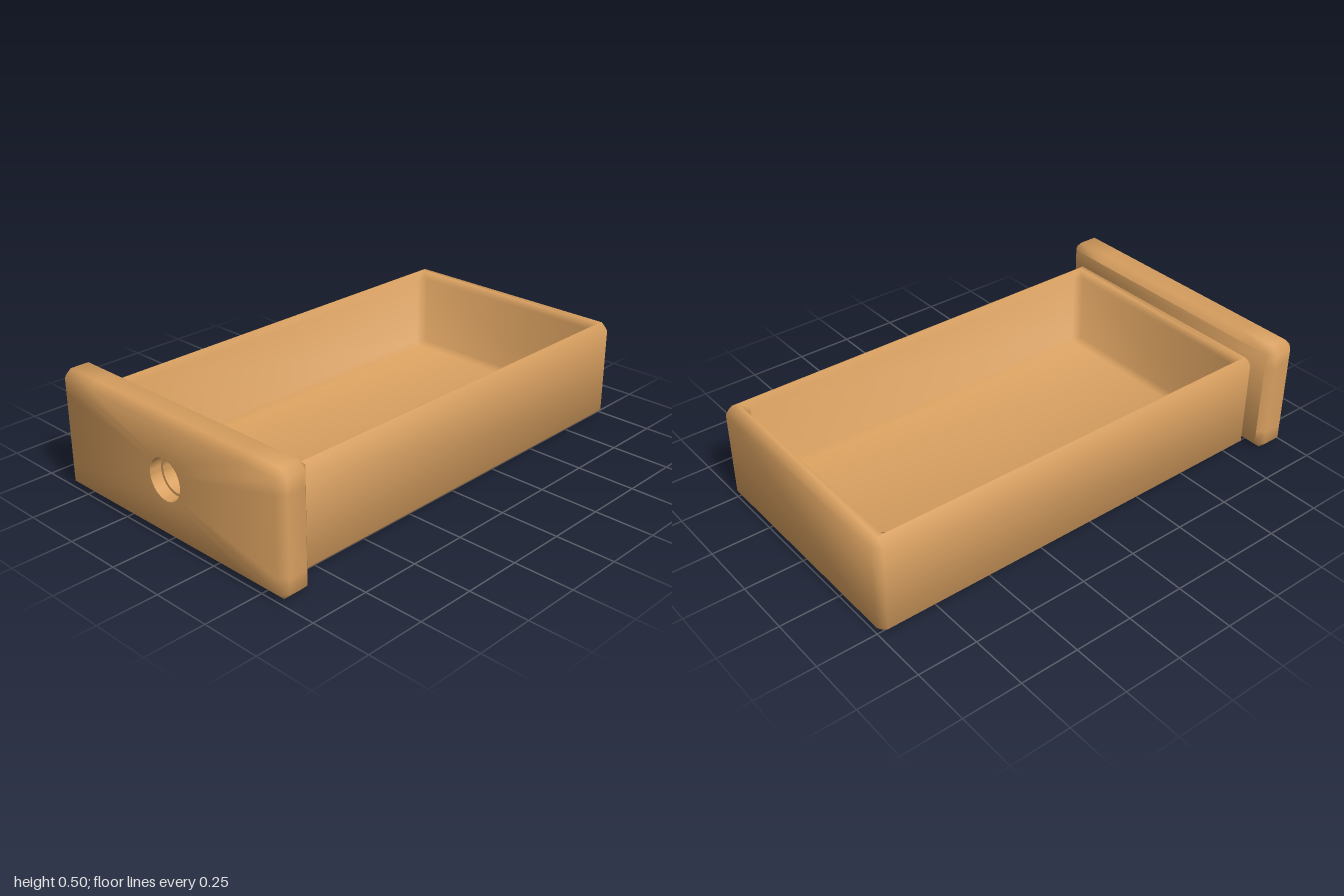
import * as THREE from 'three';
import { mergeVertices, toCreasedNormals } from 'three/addons/utils/BufferGeometryUtils.js';

// Rectangle outline with corners cut by c, at height y; k segments per side
function rectLoop(hx, hz, c, y, k = 1) {
  const pts = [];
  for (let s = 0; s < 4; s++) {
    for (let j = 0; j <= k; j++) {
      const t = (2 * j) / k - 1;
      const sign = s < 2 ? 1 : -1;
      if (s % 2 === 0) pts.push([sign * hx, y, sign * t * (hz - c)]);
      else pts.push([-sign * t * (hx - c), y, sign * hz]);
    }
  }
  return pts;
}

// Circle with the same point count and start direction as rectLoop
function circleLoop(r, y, k) {
  const n = 4 * (k + 1);
  return Array.from({ length: n }, (_, i) => {
    const a = ((i + 0.5) / n) * Math.PI * 2 - Math.PI / 4;
    return [r * Math.cos(a), y, r * Math.sin(a)];
  });
}

// Joins a series of loops into a skin, with optional flat caps
function skin(loops, capFirst, capLast) {
  const n = loops[0].length, index = [];
  for (let l = 0; l < loops.length - 1; l++) {
    for (let i = 0; i < n; i++) {
      const a = l * n + i, b = l * n + ((i + 1) % n);
      index.push(a, a + n, b + n, a, b + n, b);
    }
  }
  const last = (loops.length - 1) * n;
  for (let i = 1; i < n - 1; i++) {
    if (capFirst) index.push(0, i, i + 1);
    if (capLast) index.push(last, last + i + 1, last + i);
  }
  const geo = new THREE.BufferGeometry();
  geo.setAttribute('position', new THREE.Float32BufferAttribute(loops.flat(2), 3));
  geo.setIndex(index);
  return mergeVertices(geo, 1e-4);
}

// Smooth normals weighted by corner angle, for soft shading over the bevels
function softNormals(geo) {
  const pos = geo.attributes.position, idx = geo.index.array;
  const sums = Array.from({ length: pos.count }, () => new THREE.Vector3());
  const e1 = new THREE.Vector3(), e2 = new THREE.Vector3(), nrm = new THREE.Vector3();
  for (let t = 0; t < idx.length; t += 3) {
    const v = [0, 1, 2].map((j) => new THREE.Vector3().fromBufferAttribute(pos, idx[t + j]));
    nrm.crossVectors(e1.subVectors(v[1], v[0]), e2.subVectors(v[2], v[0]));
    if (nrm.length() < 1e-9) continue;
    nrm.normalize();
    for (let j = 0; j < 3; j++) {
      e1.subVectors(v[(j + 1) % 3], v[j]);
      e2.subVectors(v[(j + 2) % 3], v[j]);
      sums[idx[t + j]].addScaledVector(nrm, e1.angleTo(e2));
    }
  }
  const normals = sums.flatMap((s) => s.normalize().toArray());
  geo.setAttribute('normal', new THREE.Float32BufferAttribute(normals, 3));
  return geo;
}

export function createModel() {
  const model = new THREE.Group();
  model.name = 'drawer';
  const wood = new THREE.MeshStandardMaterial({ color: 0xd9a060 });
  const c = 0.03; // bevel

  // Open tray: up the outside, over the rim, down to the floor
  const hx = 0.93, hz = 0.53, top = 0.43, floor = 0.07;
  const ix = 0.86, iz = 0.48, ic = 0.015;
  const tray = new THREE.Mesh(softNormals(skin([
    rectLoop(hx - c, hz - c, 0, 0),
    rectLoop(hx, hz, c, c),
    rectLoop(hx, hz, c, top - c),
    rectLoop(hx - c, hz - c, 0, top),
    rectLoop(ix + ic, iz + ic, 0, top),
    rectLoop(ix, iz, c, top - c),
    rectLoop(ix, iz, c, floor + 0.02),
    rectLoop(ix - c, iz - c, 0, floor),
  ], true, true)), wood);
  tray.name = 'tray';
  tray.position.x = 0.07;
  model.add(tray);

  // Face panel, built lying down and turned so its outer side faces -x
  const face = new THREE.Group();
  face.name = 'facePanel';
  face.rotation.z = Math.PI / 2;
  face.position.set(-0.86, 0.25, 0);
  model.add(face);

  const py = 0.25, pz = 0.61, depth = 0.14, k = 7, r = 0.085;
  const panel = new THREE.Mesh(softNormals(skin([
    rectLoop(py - c, pz - c, 0, 0, k),
    rectLoop(py, pz, c, c, k),
    rectLoop(py, pz, c, depth - c, k),
    rectLoop(py - c, pz - c, 0, depth, k),
    circleLoop(r, depth, k),
  ], true, false)), wood);
  panel.name = 'panel';
  face.add(panel);

  // Stepped round finger hole
  const hole = new THREE.Mesh(toCreasedNormals(skin([
    circleLoop(r, depth, k),
    circleLoop(r, depth - 0.05, k),
    circleLoop(r - 0.012, depth - 0.05, k),
    circleLoop(r - 0.012, 0.01, k),
  ], false, true), 0.6), wood);
  hole.name = 'fingerHole';
  face.add(hole);

  return model;
}
